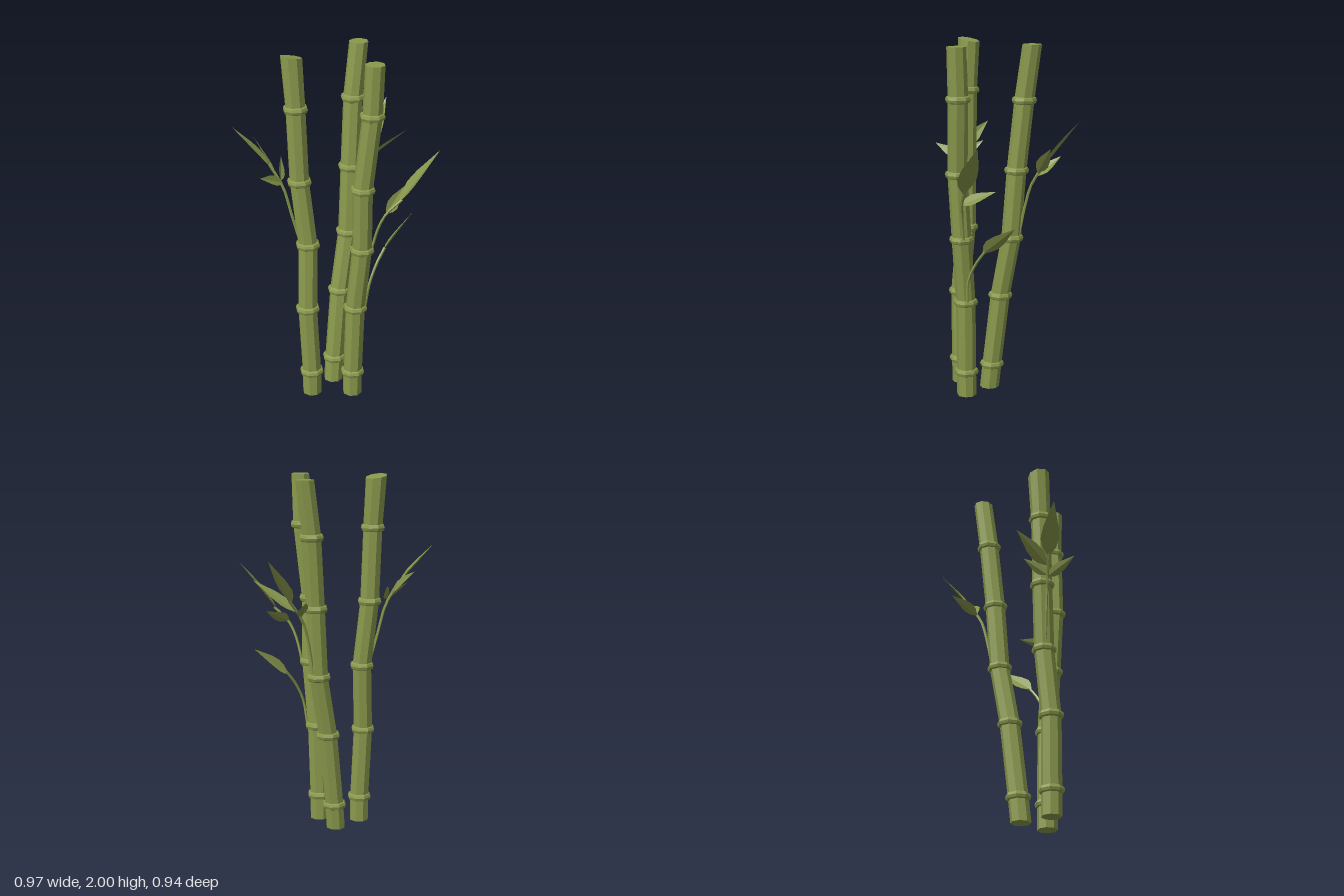
import * as THREE from 'three';

const bambooGreen = new THREE.MeshStandardMaterial({ color: 0x8a994c, flatShading: true });
bambooGreen.name = 'bambooGreen';
const leafGreen = new THREE.MeshStandardMaterial({ color: 0x87964b, flatShading: true, side: THREE.DoubleSide });
leafGreen.name = 'leafGreen';

const SIDES = 8;
const v = (p) => new THREE.Vector3(...p);

function add(parent, name, geometry, material) {
  const mesh = new THREE.Mesh(geometry, material);
  mesh.name = name;
  parent.add(mesh);
  return mesh;
}

// Straight cane section sheared between two points; topTilt slants the cut along x
function caneSection(a, b, r0, r1, topTilt = 0) {
  const geo = new THREE.CylinderGeometry(r1, r0, 1, SIDES).rotateY(Math.PI / SIDES);
  const pos = geo.attributes.position;
  for (let i = 0; i < pos.count; i++) {
    const end = pos.getY(i) > 0 ? b : a;
    const x = pos.getX(i);
    const slant = end === b ? -topTilt * x : 0;
    pos.setXYZ(i, end[0] + x, end[1] + slant, end[2] + pos.getZ(i));
  }
  geo.computeVertexNormals();
  return geo;
}

// Raised ring around a joint
function nodeRing() {
  const profile = [[0.05, -0.022], [0.064, -0.015], [0.069, 0], [0.064, 0.015], [0.05, 0.022]];
  return new THREE.LatheGeometry(profile.map(([x, y]) => new THREE.Vector2(x, y)), SIDES)
    .rotateY(Math.PI / SIDES);
}

function stalk(name, points, topRadius, topTilt) {
  const group = new THREE.Group();
  group.name = name;
  const last = points.length - 1;
  for (let i = 0; i < last; i++) {
    const end = i === last - 1;
    add(group, 'caneSection', caneSection(points[i], points[i + 1], 0.055,
      end ? topRadius : 0.055, end ? topTilt : 0), bambooGreen);
    if (i > 0) add(group, 'nodeRing', nodeRing(), bambooGreen).position.set(...points[i]);
  }
  return group;
}

// Pointed leaf folded along its midrib; up is the direction its upper face looks
function leafGeometry(base, tip, halfWidth, up = [0, 1, 0]) {
  const a = v(base), axis = v(tip).sub(a);
  const side = axis.clone().cross(v(up)).normalize();
  const normal = side.clone().cross(axis).normalize();
  const stations = [[0, 0.08], [0.16, 0.75], [0.3, 1], [0.52, 0.85], [1, 0]];
  const positions = [], index = [];
  stations.forEach(([t, w], i) => {
    for (const s of [-1, 0, 1]) {
      const p = a.clone().addScaledVector(axis, t)
        .addScaledVector(side, s * w * halfWidth)
        .addScaledVector(normal, Math.abs(s) * w * halfWidth * 0.25);
      positions.push(p.x, p.y, p.z);
    }
    if (i === 0) return;
    for (const k of [0, 1]) {
      const p = (i - 1) * 3 + k, q = p + 3;
      index.push(p, p + 1, q, p + 1, q + 1, q);
    }
  });
  const geo = new THREE.BufferGeometry();
  geo.setAttribute('position', new THREE.Float32BufferAttribute(positions, 3));
  geo.setIndex(index);
  geo.computeVertexNormals();
  return geo;
}

function branch(name, path, leaves) {
  const group = new THREE.Group();
  group.name = name;
  const curve = new THREE.CatmullRomCurve3(path.map(v));
  add(group, 'twig', new THREE.TubeGeometry(curve, 8, 0.008, 5), bambooGreen);
  for (const leaf of leaves) add(group, 'leaf', leafGeometry(...leaf), leafGreen);
  return group;
}

export function createModel() {
  const model = new THREE.Group();
  model.name = 'bambooStalks';

  // Three leaning canes
  model.add(
    stalk('rightStalk', [
      [-0.243, 0, -0.1], [-0.245, 0.14, -0.1], [-0.255, 0.545, -0.115], [-0.225, 0.925, -0.13],
      [-0.24, 1.295, -0.17], [-0.243, 1.705, -0.185], [-0.243, 1.985, -0.207],
    ], 0.06, 0.2),
    stalk('frontStalk', [
      [-0.11, 0, 0.088], [-0.11, 0.14, 0.09], [-0.105, 0.555, 0.105], [-0.105, 0.925, 0.15],
      [-0.12, 1.29, 0.165], [-0.093, 1.705, 0.205], [-0.093, 1.985, 0.22],
    ], 0.053, 0),
    stalk('leftStalk', [
      [-0.055, 0, -0.09], [-0.04, 0.14, -0.092], [0.013, 0.56, -0.092], [0.083, 0.905, -0.086],
      [0.113, 1.29, -0.09], [0.153, 1.68, -0.1], [0.2, 1.985, -0.096],
    ], 0.053, 0),
  );

  // Leafy side branches
  model.add(
    branch('rightBranch',
      [[-0.25, 0.93, -0.16], [-0.28, 1.12, -0.2], [-0.305, 1.27, -0.23], [-0.35, 1.41, -0.29]], [
        [[-0.345, 1.39, -0.285], [-0.47, 1.62, -0.435], 0.05],
        [[-0.33, 1.35, -0.265], [-0.257, 1.49, -0.47], 0.04, [0.7, 0.7, 0]],
        [[-0.31, 1.3, -0.235], [-0.483, 1.377, -0.24], 0.03, [0, 0.6, 0.8]],
        [[-0.31, 1.31, -0.24], [-0.21, 1.4, -0.32], 0.028, [0.5, 0.6, 0.5]],
      ]),
    branch('frontLowerBranch',
      [[-0.07, 0.57, 0.15], [-0.055, 0.7, 0.165], [0, 0.81, 0.176], [0.06, 0.885, 0.187]], [
        [[0.045, 0.87, 0.185], [0.26, 1.04, 0.235], 0.045, [0, 0.7, -0.6]],
      ]),
    branch('frontUpperBranch',
      [[-0.07, 0.93, 0.19], [-0.06, 1.06, 0.225], [-0.04, 1.15, 0.265], [0.01, 1.23, 0.33]], [
        [[0, 1.22, 0.32], [0.16, 1.5, 0.467], 0.055],
        [[-0.045, 1.15, 0.265], [0.155, 1.235, 0.243], 0.034, [0, 0.65, 0.75]],
      ]),
    branch('leftBranch',
      [[0.13, 0.92, -0.09], [0.16, 1.07, -0.092], [0.21, 1.23, -0.09], [0.31, 1.36, -0.085]], [
        [[0.295, 1.345, -0.086], [0.483, 1.59, -0.105], 0.046],
        [[0.25, 1.29, -0.07], [0.4, 1.46, 0.096], 0.035, [0.5, 0.8, 0.2]],
        [[0.23, 1.265, -0.1], [0.322, 1.365, -0.222], 0.035, [0.4, 0.8, -0.2]],
      ]),
  );

  return model;
}
